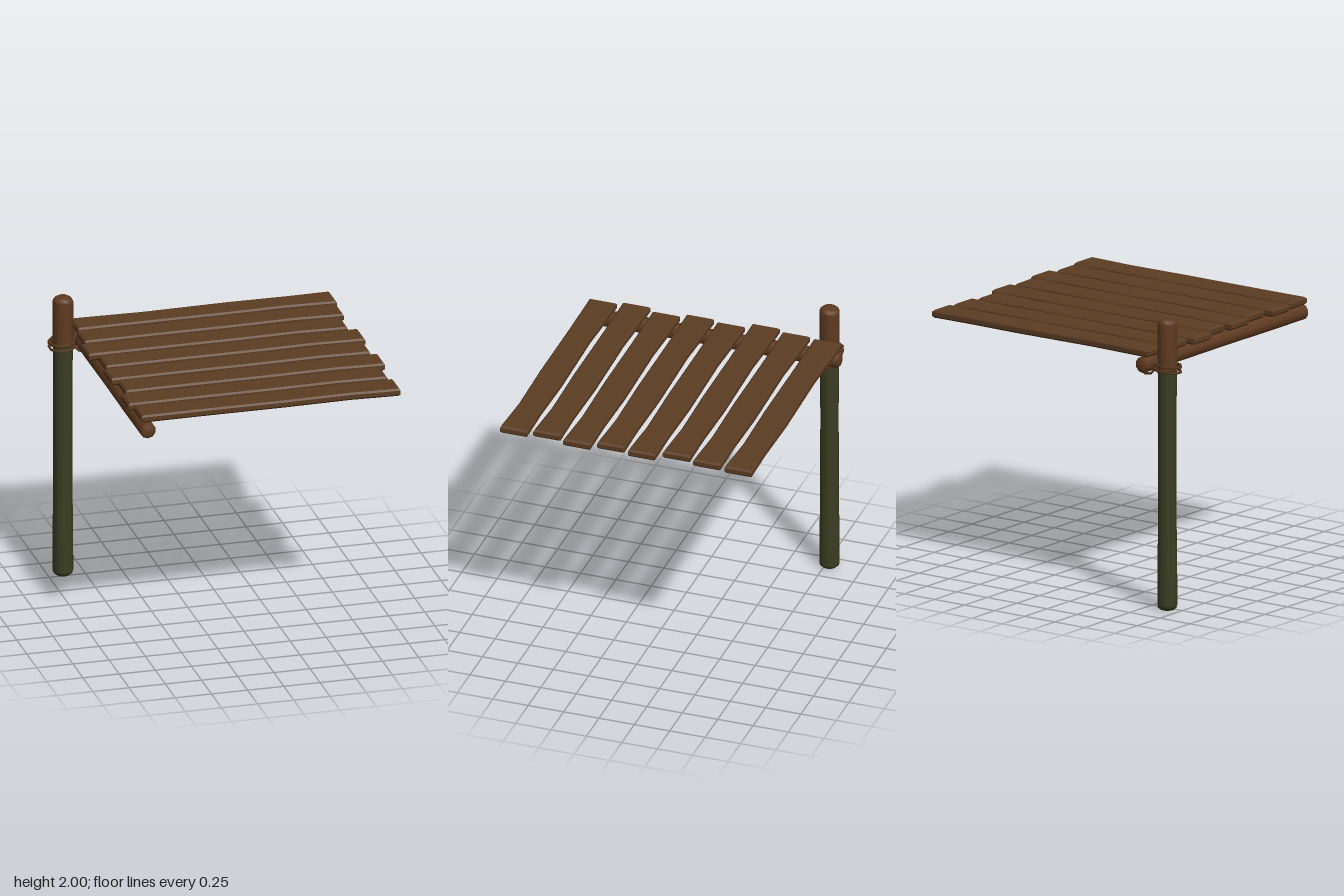
import * as THREE from 'three';

const plankWood = new THREE.MeshStandardMaterial({ color: 0x5b3c23 });
plankWood.name = 'plank wood';
const logWood = new THREE.MeshStandardMaterial({ color: 0x5f3b21 });
logWood.name = 'log wood';
const moss = new THREE.MeshStandardMaterial({ color: 0x3c3e23 });
moss.name = 'mossy wood';
const ropeFibre = new THREE.MeshStandardMaterial({ color: 0x583720 });
ropeFibre.name = 'rope fibre';

// Turned log section from [radius, height] pairs
function log(name, profile, material, sides = 10) {
  const points = profile.map(([r, y]) => new THREE.Vector2(r, y));
  const mesh = new THREE.Mesh(new THREE.LatheGeometry(points, sides), material);
  mesh.name = name;
  return mesh;
}

// Waisted board with bevelled edges, centred on its own origin
function plankGeometry(length, width, thickness) {
  const h = length / 2, w = width / 2, bevel = 0.012;
  const shape = new THREE.Shape([
    [-h, -w], [-0.48, -w + 0.004], [0.1, -w + 0.004], [0.55, -w + 0.014], [h - 0.07, -w + 0.001], [h, -w],
    [h, w], [0.6, w - 0.006], [0.2, w], [-0.4, w - 0.013], [-h + 0.1, w - 0.001], [-h, w],
  ].map(([x, y]) => new THREE.Vector2(x, y)));
  const geometry = new THREE.ExtrudeGeometry(shape, {
    depth: thickness - 2 * bevel, bevelThickness: bevel, bevelSize: bevel, bevelOffset: -bevel, bevelSegments: 1,
  });
  geometry.rotateX(-Math.PI / 2);
  geometry.center();
  return geometry;
}

export function createModel() {
  const model = new THREE.Group();
  model.name = 'plank platform';

  // Corner post: mossy below the lashing, bare wood above
  const post = new THREE.Group();
  post.name = 'post';
  post.position.set(-0.898, 0, -0.78);
  post.add(
    log('mossyPost', [[0, 0], [0.045, 0], [0.064, 0.015], [0.07, 0.035], [0.069, 0.28], [0.065, 0.6], [0.064, 1.2], [0.067, 1.66]], moss),
    log('postTop', [[0.067, 1.66], [0.07, 1.78], [0.07, 1.965], [0.062, 1.985], [0.042, 2], [0, 2]], logWood),
  );
  model.add(post);

  // Support beam running front to back
  const beam = log('beam', [[0, -0.905], [0.038, -0.905], [0.055, -0.888], [0.056, -0.5], [0.054, 0], [0.056, 0.5], [0.055, 0.888], [0.038, 0.905], [0, 0.905]], logWood);
  beam.rotation.x = Math.PI / 2;
  beam.position.set(-0.77, 1.683, 0);
  model.add(beam);

  // Deck planks, each slid sideways a little
  const board = plankGeometry(1.79, 0.194, 0.052);
  [0.08, 0.065, 0.03, 0.088, 0.061, 0.1, 0.055, 0.082].forEach((x, i) => {
    const plank = new THREE.Mesh(board, plankWood);
    plank.name = `plank${i + 1}`;
    plank.position.set(x, 1.765, -0.797 + i * 0.2265);
    model.add(plank);
  });

  // Rope lashing: coils round the post and crossed coils round the beam
  const lashing = new THREE.Group();
  lashing.name = 'lashing';
  const addCoil = (name, radius, position, rotation) => {
    const coil = new THREE.Mesh(new THREE.TorusGeometry(radius, 0.009, 6, 9), ropeFibre);
    coil.name = name;
    coil.position.set(...position);
    coil.rotation.set(...rotation);
    lashing.add(coil);
  };
  [[1.645, 0.06], [1.662, -0.08], [1.682, 0.05]].forEach(([y, tilt], i) =>
    addCoil(`postCoil${i + 1}`, 0.088, [-0.905, y, -0.78], [Math.PI / 2 + tilt, tilt, 0]));
  [-1, 1].forEach((side) =>
    addCoil(side < 0 ? 'beamCoilBack' : 'beamCoilFront', 0.069, [-0.766, 1.676, -0.78 + side * 0.028], [side * -0.38, 0, 0]));
  model.add(lashing);

  return model;
}
